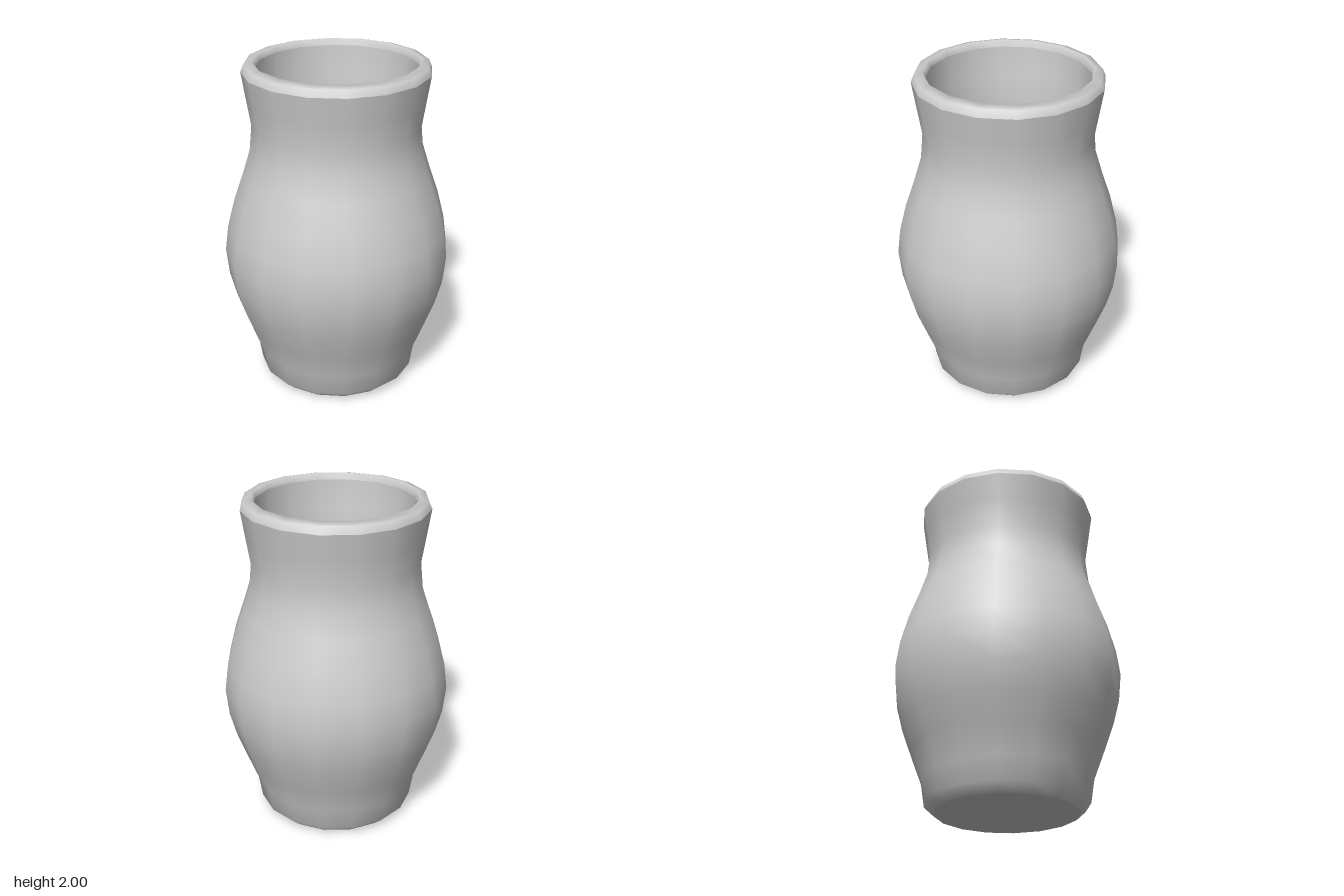
import * as THREE from 'three';

const SIDES = 16;

export function createModel() {
  const group = new THREE.Group();
  group.name = 'vase';
  const clay = new THREE.MeshStandardMaterial({ color: 0xcccccc });
  clay.name = 'plain grey clay';

  const add = (name, geometry) => {
    const mesh = new THREE.Mesh(geometry, clay);
    mesh.name = name;
    group.add(mesh);
    return mesh;
  };
  const lathe = (points) =>
    new THREE.LatheGeometry(points.map(([r, y]) => new THREE.Vector2(r, y)), SIDES);

  // Outer wall, from the foot bevel up to the lip
  const wall = [
    [0.5, 0.19], [0.565, 0.36], [0.625, 0.525], [0.663, 0.67], [0.68, 0.835],
    [0.66, 0.99], [0.615, 1.165], [0.556, 1.335], [0.512, 1.475],
    [0.497, 1.625], [0.523, 1.79],
  ];
  add('outerWall', lathe([[0.42, 0], [0.478, 0.053], ...wall, [0.547, 1.945]]));

  // Rounded lip
  add('lip', lathe([[0.547, 1.945], [0.53, 1.987], [0.48, 2], [0.468, 1.96]]));

  // Inner wall, a constant thickness inside the outer one, running downwards
  const thickness = 0.067;
  const inner = wall.map(([r, y]) => [r - thickness, y]).reverse();
  add('innerWall', lathe([[0.468, 1.96], ...inner, [0.42, 0.11], [0.372, 0.07]]));

  // Inside floor and underside
  const floor = add('innerFloor', new THREE.CircleGeometry(0.372, SIDES));
  floor.rotation.x = -Math.PI / 2;
  floor.position.y = 0.07;
  const base = add('underside', new THREE.CircleGeometry(0.42, SIDES));
  base.rotation.x = Math.PI / 2;

  return group;
}
